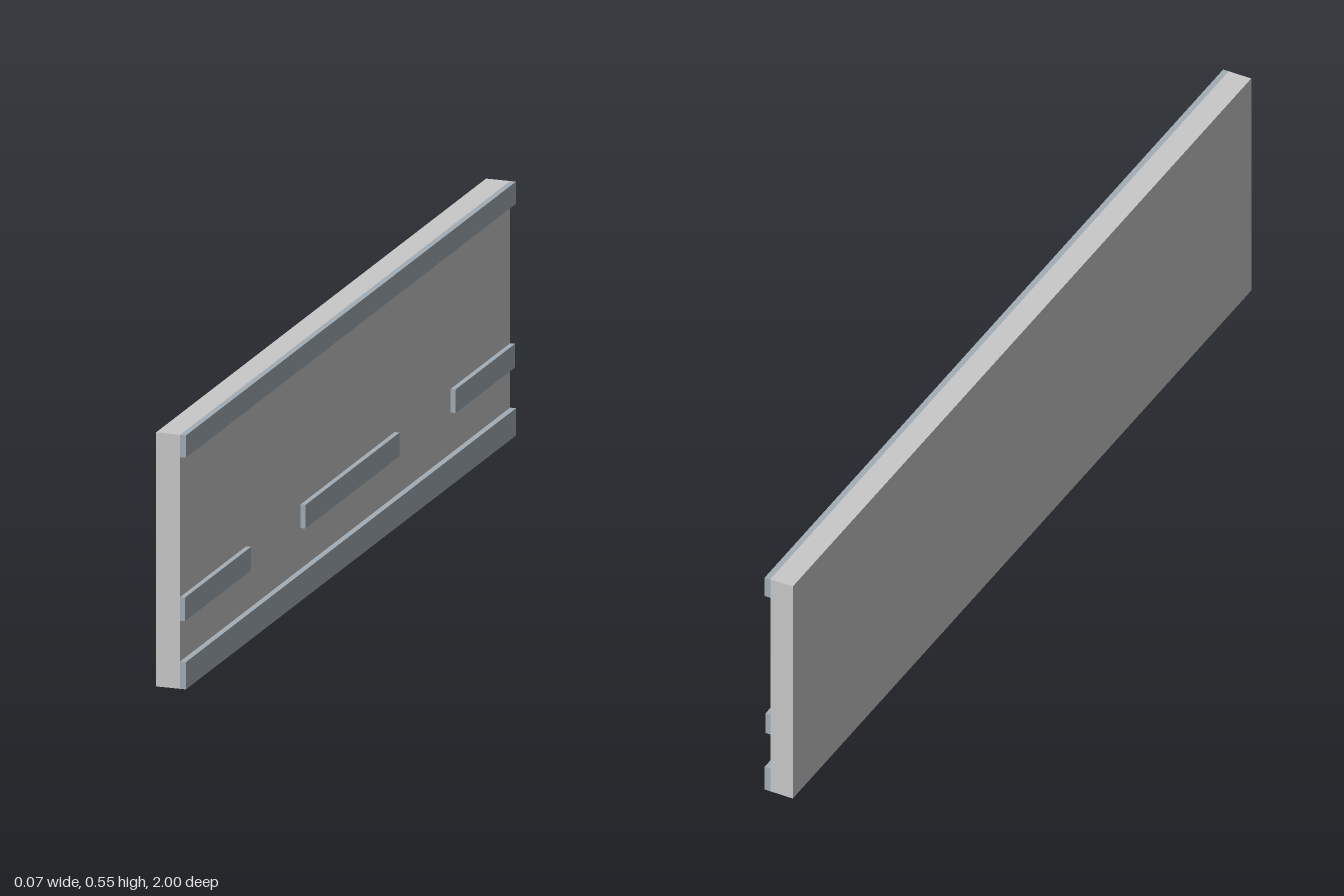
import * as THREE from 'three';

export function createModel() {
  const model = new THREE.Group();
  const panelGrey = new THREE.MeshStandardMaterial({ color: 0xc9c9c9 });
  panelGrey.name = 'panelGrey';
  const trimBlueGrey = new THREE.MeshStandardMaterial({ color: 0xa3aeb6 });
  trimBlueGrey.name = 'trimBlueGrey';

  // Box given by its limits on each axis
  function slab(name, material, [x0, x1], [y0, y1], [z0, z1]) {
    const mesh = new THREE.Mesh(new THREE.BoxGeometry(x1 - x0, y1 - y0, z1 - z0), material);
    mesh.position.set((x0 + x1) / 2, (y0 + y1) / 2, (z0 + z1) / 2);
    mesh.name = name;
    model.add(mesh);
  }

  const face = 0.02, height = 0.548, full = [-1, 1];

  // Wall panel
  slab('wallPanel', panelGrey, [-0.033, face], [0, height], full);

  // Full-length rails along the top and bottom edges
  slab('topRail', trimBlueGrey, [face, 0.033], [0.5, height], full);
  slab('bottomRail', trimBlueGrey, [face, 0.033], [0, 0.059], full);

  // Broken middle strip
  const strips = { frontStrip: [0.6, 1], middleStrip: [-0.3, 0.27], backStrip: [-1, -0.64] };
  for (const [name, span] of Object.entries(strips)) {
    slab(name, trimBlueGrey, [face, 0.031], [0.147, 0.198], span);
  }

  return model;
}
